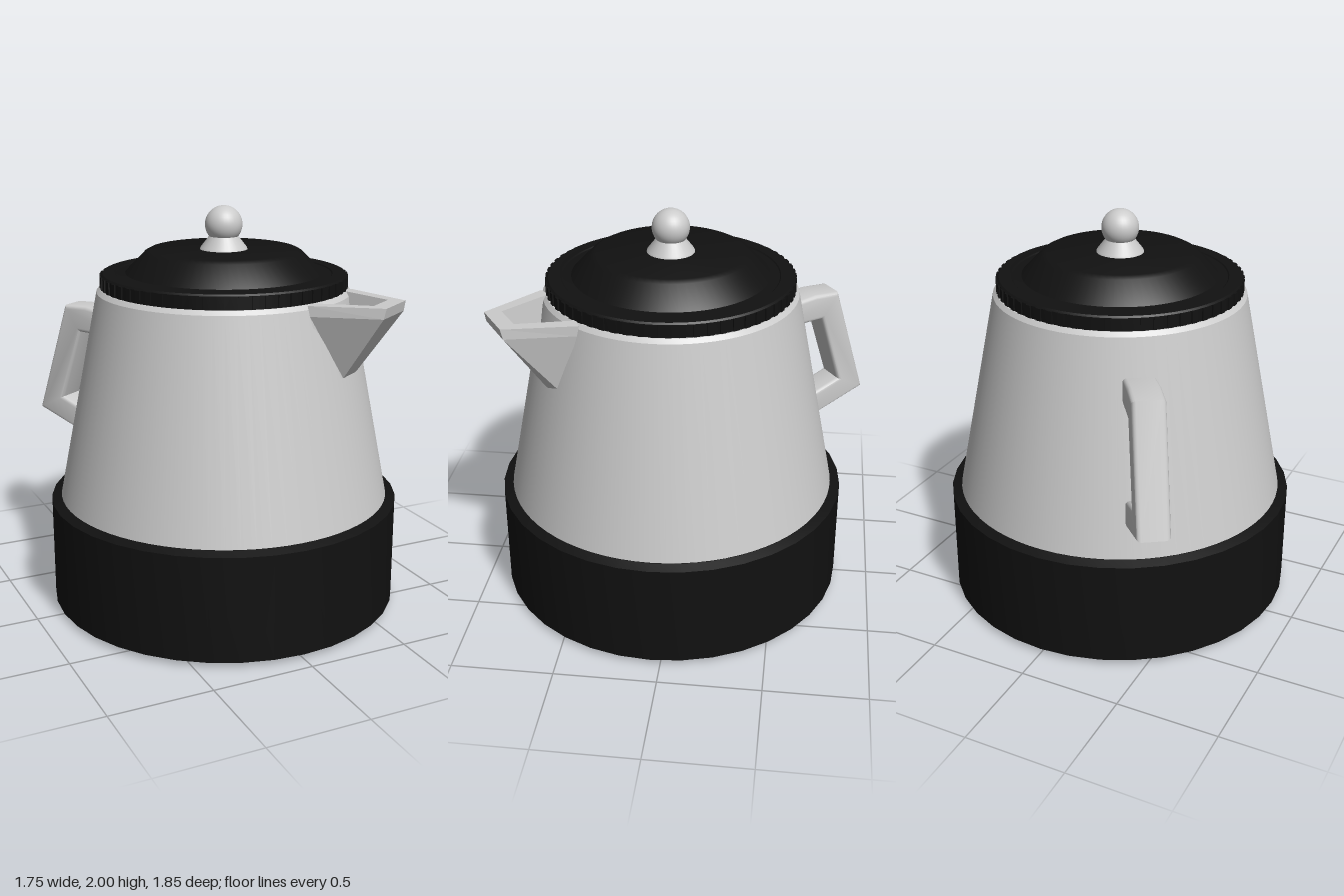
import * as THREE from 'three';
import { toCreasedNormals } from 'three/addons/utils/BufferGeometryUtils.js';

const grey = new THREE.MeshStandardMaterial({ color: 0xcccccc });
const greyFlat = new THREE.MeshStandardMaterial({ color: 0xcccccc, flatShading: true, side: THREE.DoubleSide });
const black = new THREE.MeshStandardMaterial({ color: 0x111111 });

function named(name, geometry, material) {
  const mesh = new THREE.Mesh(geometry, material);
  mesh.name = name;
  return mesh;
}

// Turned part from a profile of [radius, height], listed bottom to top
function turned(name, profile, segments, material, crease = 0.5) {
  const points = profile.map(([r, y]) => new THREE.Vector2(r, y));
  return named(name, toCreasedNormals(new THREE.LatheGeometry(points, segments), crease), material);
}

// Faceted pouring lip: rows of [y, wing out, wing side, front out, front side]
function spoutGeometry() {
  const rows = [
    [1.25, 0.65, 0.15, 0.69, 0.07],
    [1.56, 0.59, 0.23, 0.90, 0.115],
    [1.61, 0.58, 0.235, 0.91, 0.11],
    [1.61, 0.57, 0.17, 0.835, 0.08],
    [1.30, 0.60, 0.12, 0.65, 0.06],
  ].map(([y, wd, ws, fd, fs]) => [[wd, y, -ws], [fd, y, -fs], [fd, y, fs], [wd, y, ws]]);
  const positions = [];
  for (let r = 0; r < rows.length - 1; r++) {
    for (let c = 0; c < 3; c++) {
      const a = rows[r][c], b = rows[r][c + 1], d = rows[r + 1][c], e = rows[r + 1][c + 1];
      positions.push(...a, ...e, ...b, ...a, ...d, ...e);
    }
  }
  const geometry = new THREE.BufferGeometry();
  geometry.setAttribute('position', new THREE.Float32BufferAttribute(positions, 3));
  geometry.computeVertexNormals();
  return geometry;
}

// Angular C-shaped grip with softened edges, drawn outwards along x
function handleGeometry() {
  const bevel = 0.02;
  const outline = [
    [0.6, 1.38], [0.80, 1.41], [0.92, 1.405], [1.1, 0.85], [0.74, 0.715],
    [0.74, 0.81], [0.99, 0.905], [0.855, 1.31], [0.6, 1.30],
  ].map(([x, y]) => new THREE.Vector2(x, y));
  const geometry = new THREE.ExtrudeGeometry(new THREE.Shape(outline), {
    depth: 0.155 - 2 * bevel, bevelEnabled: true, bevelSize: bevel, bevelThickness: bevel, bevelSegments: 3,
  });
  geometry.translate(0, 0, bevel - 0.155 / 2);
  return toCreasedNormals(geometry, 0.6);
}

export function createModel() {
  const model = new THREE.Group();
  model.name = 'kettle';
  model.position.z = 0;
  const pot = new THREE.Group();
  pot.name = 'pot';
  pot.position.z = 0.05;
  model.add(pot);

  // Base with chamfered edges and tapered body
  pot.add(turned('base', [
    [0, 0], [0.82, 0], [0.875, 0.025], [0.875, 0.545], [0.83, 0.562], [0, 0.562],
  ], 36, black, 0.3));
  pot.add(turned('body', [
    [0.828, 0.55], [0.622, 1.59], [0.605, 1.61], [0, 1.61],
  ], 72, grey));

  // Lid with a raised centre and a ribbed rim
  pot.add(turned('lid', [
    [0, 1.6], [0.598, 1.6], [0.598, 1.672], [0.59, 1.68], [0.53, 1.68], [0.525, 1.675],
    [0.48, 1.68], [0.385, 1.777], [0.36, 1.79], [0, 1.79],
  ], 64, black));
  const ribs = new THREE.Group();
  ribs.name = 'lidRibs';
  const ribGeometry = new THREE.BoxGeometry(0.02, 0.06, 0.03);
  const ribCount = 60;
  for (let i = 0; i < ribCount; i++) {
    const angle = (i / ribCount) * Math.PI * 2;
    const rib = named('lidRib', ribGeometry, black);
    rib.position.set(Math.cos(angle) * 0.595, 1.642, -Math.sin(angle) * 0.595);
    rib.rotation.y = angle;
    ribs.add(rib);
  }
  pot.add(ribs);

  // Knob: flared stem and ball
  pot.add(turned('knobStem', [
    [0.118, 1.785], [0.112, 1.8], [0.065, 1.86], [0.055, 1.88], [0, 1.89],
  ], 32, grey, 0.8));
  const ball = named('knobBall', new THREE.SphereGeometry(0.091, 32, 20), grey);
  ball.position.y = 1.909;
  pot.add(ball);

  // Spout and handle on opposite sides of one diagonal
  const diagonal = -Math.atan2(0.832, 0.555);
  const spout = named('spout', spoutGeometry(), greyFlat);
  spout.rotation.y = diagonal;
  const handle = named('handle', handleGeometry(), grey);
  handle.rotation.y = diagonal + Math.PI;
  pot.add(spout, handle);

  return model;
}
